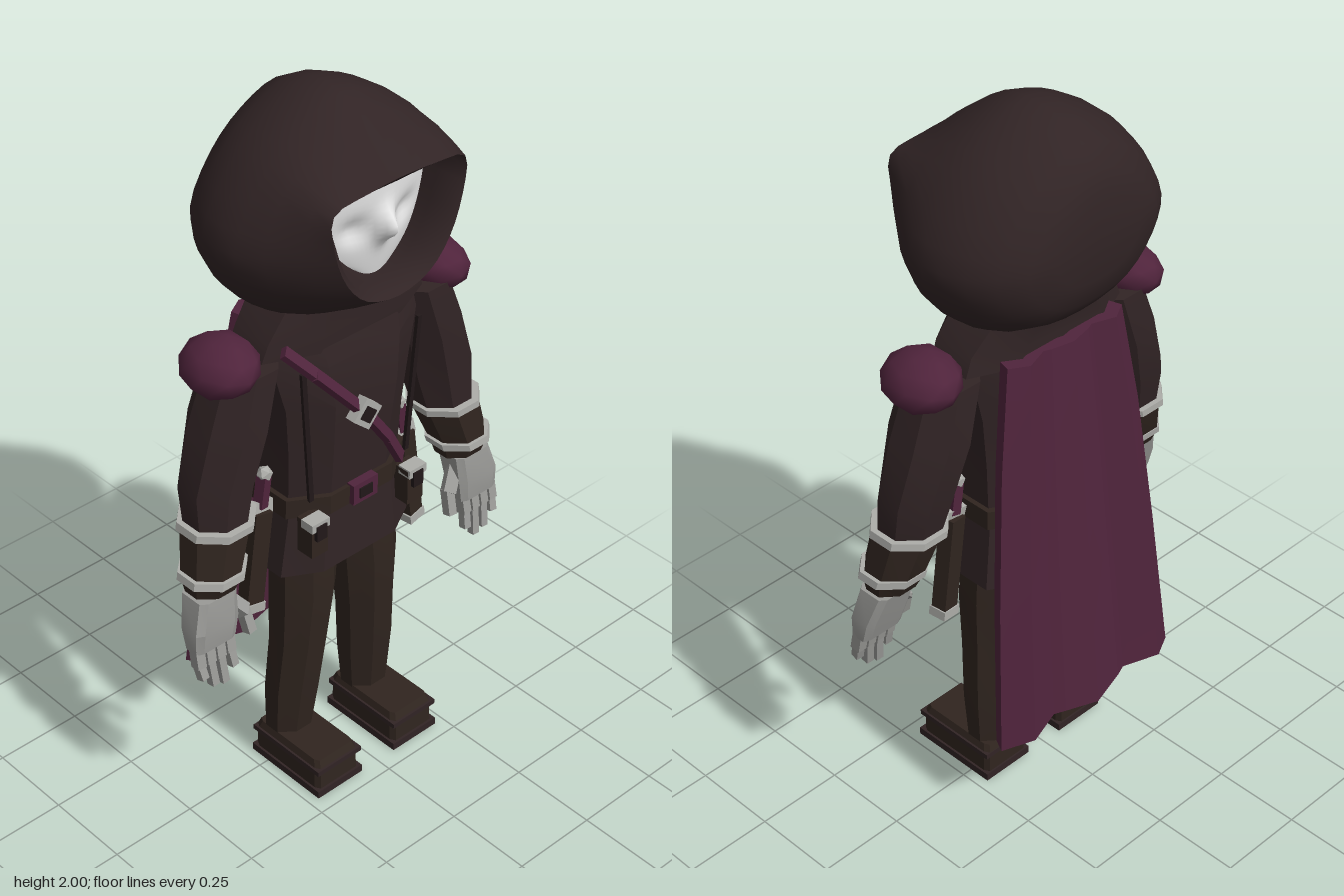
import * as THREE from 'three';
import { toCreasedNormals } from 'three/addons/utils/BufferGeometryUtils.js';

const mat = (name, color, extra = {}) => Object.assign(new THREE.MeshStandardMaterial({ color, ...extra }), { name });

export function createModel() {
  const model = new THREE.Group();
  model.name = 'hoodedFigure';
  const cloth = mat('dark cloth', 0x312425);
  const leather = mat('dark leather', 0x30251f);
  const shade = mat('dark trim', 0x211819);
  const plum = mat('plum fabric', 0x50243c);
  const grey = mat('glove grey', 0x9a9a97);
  const steel = mat('light metal', 0xadada9);
  const white = mat('mask white', 0xe6e6e6, { side: THREE.DoubleSide });

  const add = (name, geo, material, parent = model) => {
    const mesh = new THREE.Mesh(geo, material);
    mesh.name = name;
    parent.add(mesh);
    return mesh;
  };

  // Closed skin over equal-length rings of [x, y, z]; crease is the angle kept smooth
  function loft(rings, crease = 0.3) {
    const n = rings[0].length, pos = rings.flat(2), idx = [];
    const centre = ring => [0, 1, 2].map(k => ring.reduce((s, p) => s + p[k], 0) / n);
    pos.push(...centre(rings[0]), ...centre(rings[rings.length - 1]));
    const c0 = rings.length * n, last = c0 - n;
    for (let j = 0; j < n; j++) {
      const k = (j + 1) % n;
      for (let i = 0; i < rings.length - 1; i++) {
        const a = i * n + j, b = i * n + k;
        idx.push(a, b, b + n, a, b + n, a + n);
      }
      idx.push(c0, k, j, c0 + 1, last + j, last + k);
    }
    // Turn the faces outward
    let volume = 0;
    const at = i => new THREE.Vector3().fromArray(pos, i * 3);
    for (let i = 0; i < idx.length; i += 3) volume += at(idx[i]).dot(at(idx[i + 1]).cross(at(idx[i + 2])));
    if (volume < 0) idx.reverse();
    const g = new THREE.BufferGeometry();
    g.setAttribute('position', new THREE.Float32BufferAttribute(pos, 3));
    g.setIndex(idx);
    return toCreasedNormals(g, crease);
  }

  // Horizontal chamfered ring from x and z limits
  function ring(y, x0, x1, z0, z1, c = 0.3) {
    const w = (x1 - x0) * c, d = (z1 - z0) * c;
    return [[x0 + w, y, z0], [x1 - w, y, z0], [x1, y, z0 + d], [x1, y, z1 - d],
      [x1 - w, y, z1], [x0 + w, y, z1], [x0, y, z1 - d], [x0, y, z0 + d]];
  }
  const stack = (rows, c, crease) => loft(rows.map(r => ring(...r, c)), crease);
  const box = (x0, x1, y0, y1, z0, z1) =>
    new THREE.BoxGeometry(x1 - x0, y1 - y0, z1 - z0).translate((x0 + x1) / 2, (y0 + y1) / 2, (z0 + z1) / 2);

  // Bar between two points
  function bar(name, a, b, w, d, material, parent) {
    const p = new THREE.Vector3(...a), q = new THREE.Vector3(...b);
    const m = add(name, new THREE.BoxGeometry(w, d, p.distanceTo(q)), material, parent);
    m.position.copy(p).lerp(q, 0.5);
    m.quaternion.setFromUnitVectors(new THREE.Vector3(0, 0, 1), q.clone().sub(p).normalize());
    return m;
  }

  // Hood: blended from the face opening to the widest outline, then closed at the back
  const curve = half => {
    const pts = [...half, ...half.slice(1, -1).reverse().map(([x, y]) => [-x, y])];
    return new THREE.CatmullRomCurve3(pts.map(([x, y]) => new THREE.Vector3(x, y, 0)), true, 'centripetal')
      .getPoints(pts.length * 3).slice(0, -1);
  };
  const opening = curve([[0, 1.835], [0.1, 1.835], [0.205, 1.825], [0.19, 1.73], [0.15, 1.63], [0.09, 1.565], [0, 1.54]]);
  const outline = curve([[0, 2], [0.14, 1.95], [0.26, 1.85], [0.348, 1.69], [0.315, 1.57], [0.2, 1.465], [0, 1.43]]);
  const blend = (t, z) => opening.map((o, i) => [o.x + (outline[i].x - o.x) * t, o.y + (outline[i].y - o.y) * t, z]);
  const shrink = (s, z, src = outline) => src.map(p => [p.x * s, 1.72 + (p.y - 1.72) * s, z]);
  add('hood', loft([shrink(0.98, 0.05, opening), shrink(0.99, 0.17, opening), blend(0, 0.235), blend(0.1, 0.25),
    blend(0.38, 0.2), blend(0.75, 0.12), blend(0.95, 0.05), blend(1, 0), shrink(0.985, -0.06), shrink(0.92, -0.12),
    shrink(0.8, -0.18), shrink(0.62, -0.222), shrink(0.4, -0.24)], 0.9), cloth);

  // Mask: curved shield with brow, nose and eye slits
  const mask = new THREE.PlaneGeometry(2, 1, 20, 16), mp = mask.attributes.position;
  for (let i = 0; i < mp.count; i++) {
    const u = mp.getX(i), v = 0.5 - mp.getY(i);
    const half = 0.185 - 0.07 * v - 0.06 * v ** 4, x = u * half;
    const nose = 0.05 * Math.exp(-((x / 0.022) ** 2)) * Math.exp(-(((v - 0.42) / 0.16) ** 2));
    const eye = 0.02 * Math.exp(-(((Math.abs(x) - 0.08) / 0.035) ** 2) - ((v - 0.42) / 0.13) ** 2);
    mp.setXYZ(i, x, 1.81 - 0.25 * v + 0.02 * u * u * v, 0.2 - 1.7 * x * x - 0.03 * v * v + nose - eye);
  }
  mask.computeVertexNormals();
  add('mask', mask, white);

  // Torso, cowl and tunic skirt
  add('cowl', stack([[1.36, -0.27, 0.27, -0.12, 0.12], [1.41, -0.25, 0.25, -0.12, 0.125],
    [1.48, -0.19, 0.19, -0.14, 0.13]], 0.25, 0.8), cloth);
  add('torso', stack([[0.88, -0.19, 0.19, -0.105, 0.115], [1.05, -0.195, 0.195, -0.11, 0.13],
    [1.2, -0.21, 0.21, -0.12, 0.145], [1.32, -0.24, 0.24, -0.12, 0.135], [1.39, -0.25, 0.25, -0.115, 0.115]], 0.25, 0.5), cloth);
  add('tunicSkirt', stack([[0.685, -0.225, 0.225, -0.13, 0.125], [0.88, -0.195, 0.195, -0.11, 0.12]], 0.22), cloth);
  add('belt', stack([[0.865, -0.207, 0.207, -0.122, 0.13], [0.92, -0.205, 0.205, -0.122, 0.13]], 0.24), leather);
  add('beltBuckle', box(-0.042, 0.042, 0.865, 0.925, 0.12, 0.145), plum);
  add('beltBuckleCentre', box(-0.022, 0.022, 0.88, 0.91, 0.14, 0.149), shade);
  add('backPouch', box(-0.06, 0.06, 0.87, 0.92, -0.135, -0.11), leather);

  // Chest strap with diamond buckle
  const strap = [[-0.235, 1.4, 0.1], [-0.17, 1.325, 0.14], [-0.02, 1.155, 0.155], [0.08, 1.02, 0.14], [0.135, 0.925, 0.13]];
  for (let i = 0; i < strap.length - 1; i++) bar('chestStrap', strap[i], strap[i + 1], 0.032, 0.018, plum);
  [[0.068, 0.158, 0.03, steel], [0.038, 0.175, 0.006, shade]].forEach(([s, z, d, m]) => {
    const b = add('strapBuckle', new THREE.BoxGeometry(s, s, d), m);
    b.position.set(-0.022, 1.155, z);
    b.rotation.z = 0.85;
  });

  // Cape: pleated sheet with thickness, widening toward the hem
  const folds = [[-1, 0.03], [-0.75, -0.012], [-0.42, 0.02], [-0.32, 0.008], [0, -0.012], [0.32, 0.008], [0.42, 0.02], [0.75, -0.012], [1, 0.03]];
  const capeRow = (y, half, z, k) => [
    ...folds.map(([u, f], i) => [u * half, y + (k > 1 ? (i % 4 ? 0.012 : -0.005) : 0), z + f * k]),
    ...folds.map(([u, f]) => [u * half * 0.95, y, z + f * k + 0.035]).reverse()];
  // Side-by-side strips keep the folded end caps clean
  const rows = [[1.39, 0.2, -0.152, 0.7], [1.1, 0.245, -0.18, 0.85], [0.7, 0.285, -0.215, 1], [0.285, 0.318, -0.252, 1.1]].map(r => capeRow(...r));
  const N = folds.length;
  for (let i = 0; i < N - 1; i++)
    add('capeFold', loft(rows.map(r => [r[i], r[i + 1], r[2 * N - 2 - i], r[2 * N - 1 - i]])), plum);

  // Limbs and side gear, mirrored in x
  for (const s of [1, -1]) {
    const X = (x0, x1) => (s > 0 ? [x0, x1] : [-x1, -x0]);
    const limb = (name, data, m, c) => add(name, stack(data.map(([y, x0, x1, z0, z1]) => [y, ...X(x0, x1), z0, z1]), c), m);
    const block = (name, x0, x1, y0, y1, z0, z1, m) => add(name, box(...X(x0, x1), y0, y1, z0, z1), m);
    const link = (name, a, b, w, d, m) => bar(name, [s * a[0], a[1], a[2]], [s * b[0], b[1], b[2]], w, d, m);

    limb('sleeve', [[0.93, 0.315, 0.475, -0.055, 0.1], [1.05, 0.28, 0.475, -0.08, 0.1], [1.2, 0.24, 0.43, -0.1, 0.11],
      [1.36, 0.2, 0.37, -0.09, 0.1]], cloth);
    limb('cuff', [[0.77, 0.37, 0.505, -0.01, 0.105], [0.81, 0.36, 0.51, -0.03, 0.12], [0.95, 0.305, 0.485, -0.065, 0.11]], leather);
    limb('cuffBandUpper', [[0.935, 0.3, 0.495, -0.075, 0.12], [0.955, 0.296, 0.49, -0.075, 0.12]], steel);
    limb('cuffBandLower', [[0.81, 0.347, 0.522, -0.035, 0.13], [0.83, 0.342, 0.517, -0.038, 0.128]], steel);

    const pad = add('shoulderPad', new THREE.IcosahedronGeometry(1, 1), plum);
    pad.scale.set(0.095, 0.07, 0.112);
    pad.position.set(s * 0.355, 1.372, 0.005);
    pad.rotation.z = -s * 0.3;

    // Gloved hand with four fingers and a thumb
    limb('palm', [[0.62, 0.405, 0.535, 0.05, 0.105], [0.68, 0.395, 0.535, 0.03, 0.11], [0.765, 0.39, 0.51, 0.005, 0.1]], grey, 0.15);
    for (let i = 0; i < 4; i++) {
      const x = 0.422 + i * 0.033, tip = [0.53, 0.495, 0.505, 0.54][i];
      link('fingerBase', [x, 0.64, 0.08], [x + 0.002, 0.575, 0.092], 0.027, 0.03, grey);
      link('fingerTip', [x + 0.002, 0.58, 0.091], [x - 0.002, tip, 0.102], 0.022, 0.024, grey);
    }
    link('thumbBase', [0.41, 0.72, 0.06], [0.365, 0.665, 0.085], 0.035, 0.035, grey);
    link('thumbTip', [0.366, 0.675, 0.08], [0.36, 0.605, 0.1], 0.026, 0.028, grey);

    // Legs and boots
    limb('leg', [[0.09, 0.075, 0.205, -0.055, 0.055], [0.25, 0.055, 0.21, -0.06, 0.075], [0.42, 0.04, 0.2, -0.055, 0.092],
      [0.58, 0.02, 0.2, -0.058, 0.105], [0.72, 0.01, 0.195, -0.06, 0.1]], leather);
    limb('bootUpper', [[0.015, 0.066, 0.214, -0.058, 0.198], [0.09, 0.068, 0.212, -0.058, 0.195], [0.11, 0.075, 0.205, -0.05, 0.185]], leather, 0.06);
    block('bootSole', 0.06, 0.22, 0, 0.022, -0.063, 0.205, cloth);
    block('bootBand', 0.062, 0.218, 0.075, 0.09, -0.06, 0.202, cloth);

    // Belt pouch
    block('pouch', 0.14, 0.195, 0.78, 0.885, 0.1, 0.155, leather);
    block('pouchClasp', 0.14, 0.2, 0.865, 0.89, 0.12, 0.162, steel);
    block('pouchFlap', 0.152, 0.186, 0.835, 0.88, 0.15, 0.166, shade);

    // Sheathed dagger
    link('scabbard', [0.25, 0.89, 0.02], [0.287, 0.61, 0.02], 0.05, 0.045, leather);
    link('scabbardTip', [0.286, 0.618, 0.02], [0.289, 0.592, 0.02], 0.058, 0.052, steel);
    link('daggerGuard', [0.215, 0.892, 0.02], [0.285, 0.902, 0.02], 0.022, 0.04, steel);
    link('daggerGrip', [0.248, 0.9, 0.02], [0.234, 0.99, 0.02], 0.026, 0.03, plum);
    add('daggerPommel', new THREE.IcosahedronGeometry(0.022, 0), steel).position.set(s * 0.232, 0.995, 0.02);

    // Coat edge and mask eye
    link('coatEdge', [0.165, 0.93, 0.118], [0.195, 1.33, 0.125], 0.014, 0.01, shade);
    link('maskEye', [0.07, 1.667, 0.172], [0.105, 1.672, 0.161], 0.008, 0.009, shade);
  }
  return model;
}
